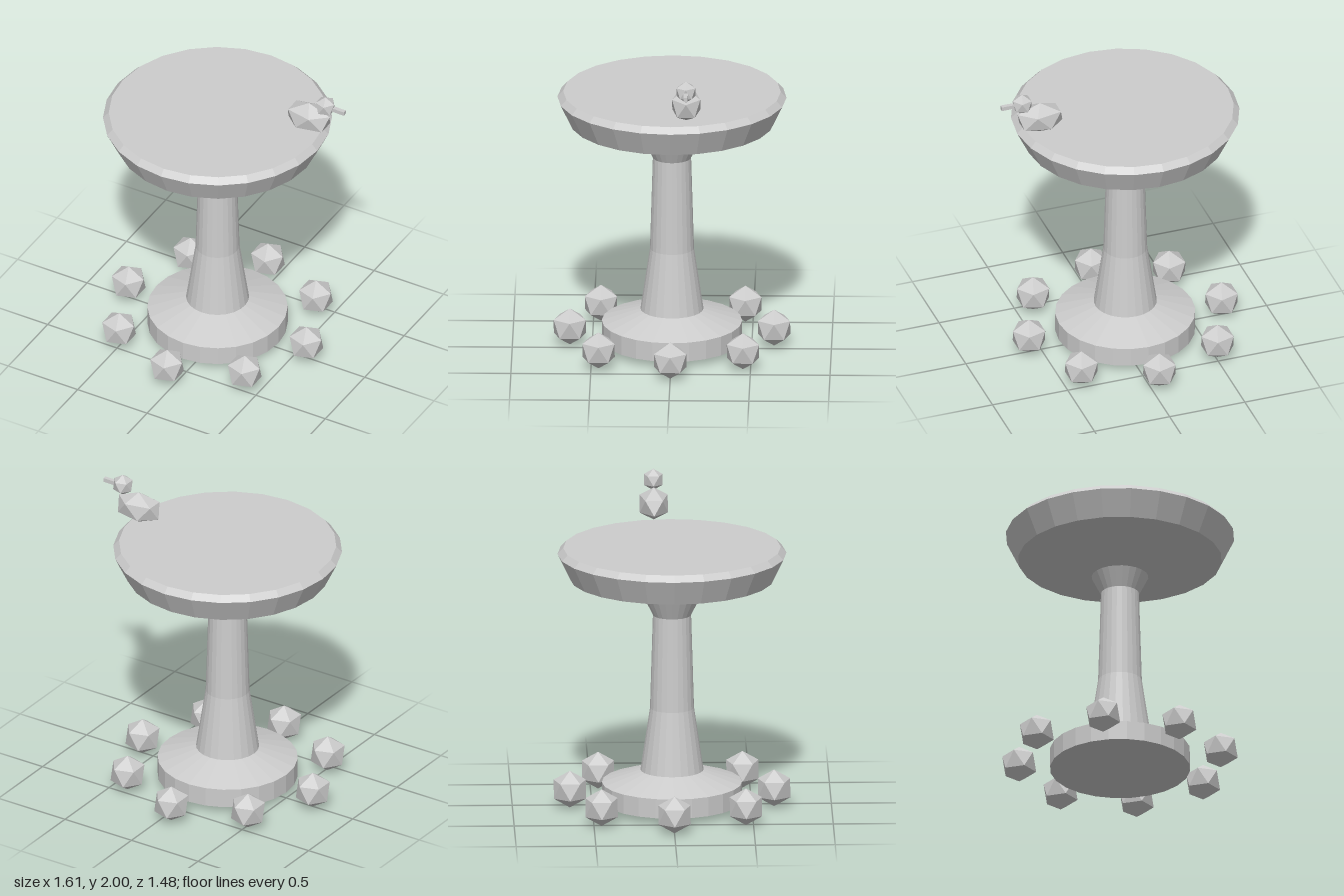
import * as THREE from 'three';

const AXIS_X = -0.06;

export function createModel() {
  const model = new THREE.Group();
  model.name = 'birdBath';
  const stone = new THREE.MeshStandardMaterial({ color: 0xcccccc });
  stone.name = 'paleStone';

  // Adds a faceted mesh
  function add(name, geometry, x, y, z) {
    const flat = geometry.index ? geometry.toNonIndexed() : geometry;
    flat.computeVertexNormals();
    const mesh = new THREE.Mesh(flat, stone);
    mesh.name = name;
    mesh.position.set(x, y, z);
    model.add(mesh);
    return mesh;
  }

  // Turned part, profile given as [radius, height] from bottom to top
  const turned = (name, profile) =>
    add(name, new THREE.LatheGeometry(profile.map(([r, y]) => new THREE.Vector2(r, y)), 24), AXIS_X, 0, 0);

  // Icosahedron standing on one corner, stretched to the given radii
  const nugget = (rx, ry, rz) =>
    new THREE.IcosahedronGeometry(1, 0).rotateZ(-Math.atan(2 / (1 + Math.sqrt(5)))).scale(rx, ry, rz);

  // Foot, column and basin share their boundary rings
  turned('foot', [[0, 0.04], [0.44, 0.04], [0.44, 0.164], [0.198, 0.244]]);
  turned('column', [[0.198, 0.244], [0.138, 0.645], [0.12, 1.247], [0.178, 1.363]]);
  turned('basin', [[0.178, 1.363], [0.64, 1.483], [0.718, 1.645], [0.682, 1.683], [0, 1.683]]);

  // Ring of eight stones on the ground
  for (let i = 0; i < 8; i++) {
    const a = (i * Math.PI) / 4;
    add('groundStone', nugget(0.119, 0.119, 0.119),
      AXIS_X + 0.64 * Math.cos(a), 0.119, 0.64 * Math.sin(a));
  }

  // Bird on the rim, facing left
  add('birdBody', nugget(0.166, 0.104, 0.104), 0.542, 1.807, -0.1);
  add('birdHead', nugget(0.069, 0.069, 0.069), 0.661, 1.931, -0.1);
  add('birdBeak', new THREE.BoxGeometry(0.12, 0.026, 0.026), 0.74, 1.928, -0.1);

  return model;
}
